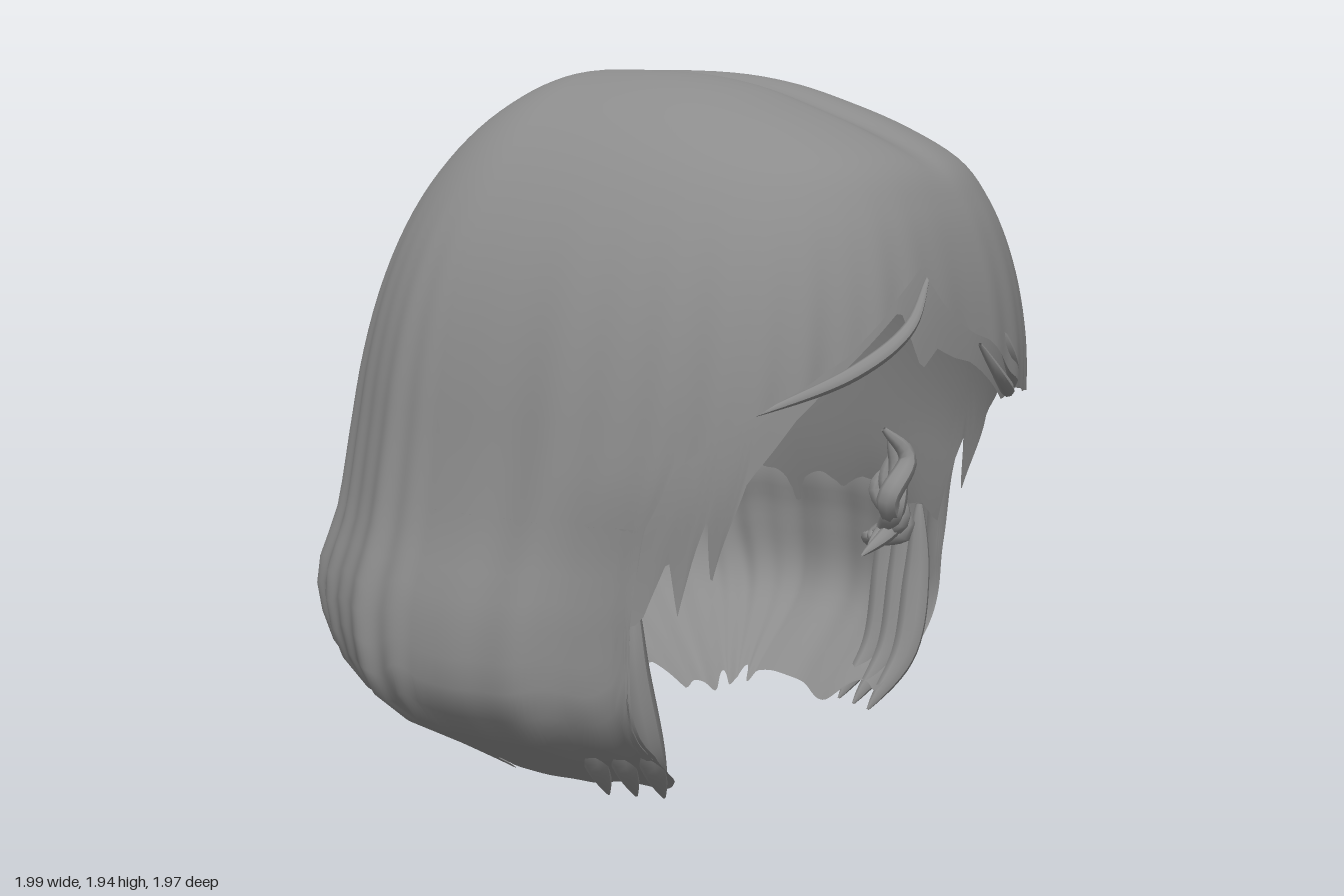
import * as THREE from 'three';
import { mergeVertices } from 'three/addons/utils/BufferGeometryUtils.js';

const hair = new THREE.MeshStandardMaterial({ color: 0x8c8c8c, side: THREE.DoubleSide });
hair.name = 'grey hair';

const TOP = 1.94, POLE_Z = -0.15, DEG = Math.PI / 180;
// Head profile, sampled at q = 0, 0.1 ... 1.4 where y = TOP - q * q
const WIDTH = [0, 0.19, 0.31, 0.42, 0.52, 0.61, 0.69, 0.76, 0.815, 0.855, 0.885, 0.925, 0.985, 0.94, 0.54];
const FRONT = [-0.15, 0.11, 0.3, 0.46, 0.64, 0.8, 0.88, 0.93, 0.96, 0.97, 0.95, 0.88, 0.85, 0.85, 0.83];
const BACK = [0.15, 0.27, 0.36, 0.44, 0.53, 0.615, 0.695, 0.76, 0.815, 0.86, 0.895, 0.925, 0.98, 0.76, 0.22];

const smooth = (a, b, v) => {
  const t = Math.min(1, Math.max(0, (v - a) / (b - a)));
  return t * t * (3 - 2 * t);
};

// Smooth interpolation of a profile table
function sample(table, q) {
  const f = Math.min(q * 10, table.length - 1.001), i = Math.floor(f), t = f - i;
  const p = k => table[Math.min(table.length - 1, Math.max(0, k))];
  const m0 = i === 0 ? p(1) - p(0) : (p(i + 1) - p(i - 1)) / 2;
  const m1 = (p(i + 2) - p(i)) / 2;
  return p(i) + t * m0 + t * t * (3 * (p(i + 1) - p(i)) - 2 * m0 - m1)
    + t * t * t * (2 * (p(i) - p(i + 1)) + m0 + m1);
}

// Point of the hair volume at an angle (0 = front, + = model's left) and depth q
function hairPoint(a, q, scale, flute) {
  const y = TOP - q * q, s = Math.sin(a), c = Math.cos(a);
  const e = c > 0 ? (s < 0 ? 0.68 : 0.86) : 0.92;
  const wave = 1 + flute * smooth(0.5, 1.25, q) *
    (0.005 * Math.sin(44 * a) + 0.004 * Math.sin(27 * a + 1) + 0.006 * Math.sin(13 * a));
  const k = scale * wave;
  let x = Math.sign(s) * Math.pow(Math.abs(s), e) * sample(WIDTH, q) * k;
  const reach = c > 0 ? sample(FRONT, q) - POLE_Z : sample(BACK, q) + POLE_Z;
  const z = POLE_Z + Math.sign(c) * Math.pow(Math.abs(c), e) * reach * k;
  // side curtains curl in towards the face
  x *= 1 - 0.1 * smooth(0.05, 0.41, z) * smooth(0.95, 0.4, y);
  // shallow parting on the crown
  const part = 0.025 * Math.exp(-((x / 0.07) ** 2)) * smooth(-0.3, 0.1, z) * smooth(1.6, 1.85, y);
  return [x, y - part, z];
}

// Sheet hanging from height top down to an edge given as [degrees, y] pairs
function sheet(name, edge, cols, rows, { top = TOP, scale = () => 1, flute = 1, ragged = 0, drop = 0 } = {}) {
  const path = new THREE.Path();
  edge.forEach(([d, y], i) => (i ? path.lineTo(d * DEG, y) : path.moveTo(d * DEG, y)));
  const pts = path.getSpacedPoints(cols), pos = [], index = [];
  pts.forEach(({ x: a, y }, i) => {
    const deg = Math.abs(a) / DEG, low = smooth(62, 66, deg) * smooth(150, 125, deg);
    const end = y + low * ragged * (Math.sin(22 * a) + 0.4 * Math.sin(37 * a));
    const q0 = Math.sqrt(TOP - top), q1 = Math.sqrt(TOP - Math.max(0, end));
    for (let j = 0; j <= rows; j++) {
      const t = j / rows, p = hairPoint(a, q0 + (q1 - q0) * t, scale(a, t), flute);
      pos.push(p[0], p[1] - drop, p[2]);
      if (i < cols && j < rows) {
        const n = i * (rows + 1) + j, m = n + rows + 1;
        index.push(n, n + 1, m, m, n + 1, m + 1);
      }
    }
  });
  let g = new THREE.BufferGeometry();
  g.setAttribute('position', new THREE.Float32BufferAttribute(pos, 3));
  g.setIndex(index);
  g = mergeVertices(g, 1e-5);
  g.computeVertexNormals();
  const mesh = new THREE.Mesh(g, hair);
  mesh.name = name;
  return mesh;
}

// Tapered lock of hair along a few points
function lock(name, points, radius) {
  const curve = new THREE.CatmullRomCurve3(points.map(p => new THREE.Vector3(...p)));
  const n = 24, sides = 8, g = new THREE.TubeGeometry(curve, n, radius, sides);
  const pos = g.attributes.position, v = new THREE.Vector3();
  for (let i = 0; i <= n; i++) {
    const c = curve.getPointAt(i / n), k = Math.pow(Math.sin(Math.PI * (0.04 + 0.95 * i / n)), 0.7);
    for (let j = 0; j <= sides; j++) {
      const id = i * (sides + 1) + j;
      v.fromBufferAttribute(pos, id).sub(c).multiplyScalar(k).add(c);
      pos.setXYZ(id, v.x, v.y, v.z);
    }
  }
  g.computeVertexNormals();
  const mesh = new THREE.Mesh(g, hair);
  mesh.name = name;
  return mesh;
}

export function createModel() {
  const model = new THREE.Group();
  model.name = 'bobHair';

  // Outer hair with the face opening and fringe peak
  model.add(sheet('outerHair', [
    [-180, 0.09], [-150, 0.09], [-143, 0.03], [-120, 0.02], [-95, 0.04], [-75, 0.03], [-67, 0.08], [-65, 0.18],
    [-64, 0.5], [-63, 0.8], [-60, 0.95], [-54, 1.04], [-40, 1.15], [-30, 1.23], [-19, 1.36], [-12, 1.44],
    [-7, 1.34], [0, 1.24], [8, 1.13], [17, 1.06], [30, 1.04], [44, 1.02], [52, 0.96], [57, 0.8],
    [59, 0.5], [61, 0.18], [64, 0.08], [75, 0.03], [95, 0.04], [120, 0.02], [143, 0.03], [150, 0.09], [180, 0.09],
  ], 560, 44, { ragged: 0.018 }));

  // Inner panels of the side hair, closed onto the curtain and bottom edges
  const inset = (a, t) => 1 - 0.07 * smooth(62 * DEG, 76 * DEG, Math.abs(a)) * smooth(0, 0.3, t) * (1 - t ** 6);
  const half = [[64, 0.18], [67, 0.08], [75, 0.03], [95, 0.04], [120, 0.02], [143, 0.03]];
  for (const side of [-1, 1]) {
    model.add(sheet(side < 0 ? 'rightInnerPanel' : 'leftInnerPanel', half.map(([d, y]) => [d * side, y]),
      120, 20, { top: 0.8, scale: inset, ragged: 0.018 }));
  }

  // Scalp cap inside, with a ragged edge
  model.add(sheet('scalpCap', [
    [-180, 0.77], [-150, 0.76], [-145, 0.85], [-138, 0.67], [-122, 0.58], [-95, 0.52], [-70, 0.54], [-62, 0.58],
    [-58, 0.75], [-55, 0.6], [-52, 0.86], [-49, 0.68], [-46, 0.95], [-38, 1.1], [-30, 1.2], [-14, 1.36],
    [-9, 1.2], [-5, 1.25], [6, 1.15], [15, 1.07], [35, 1.06], [42, 0.98], [47, 0.72], [51, 0.88],
    [56, 0.6], [62, 0.65], [90, 0.54], [125, 0.52], [150, 0.5], [158, 0.58], [146, 0.72],
    [150, 0.85], [162, 0.84], [169, 0.77], [180, 0.77],
  ], 240, 24, { scale: () => 0.95, flute: 0, drop: 0.03 }));

  // Strands at the front edge of each side curtain
  for (const s of [-1, 1]) {
    const side = s < 0 ? 'right' : 'left';
    for (let i = 0; i < 3; i++) {
      const z = 0.36 - i * 0.07;
      model.add(lock(side + 'CurtainStrand' + (i + 1), [
        [s * (0.74 + 0.02 * i), 0.62, z], [s * (0.73 + 0.025 * i), 0.4, z],
        [s * (0.66 + 0.03 * i), 0.17, z], [s * (0.53 + 0.03 * i), 0.01, z - 0.05],
      ], 0.045));
    }
  }

  // Tucked curls beside the left temple
  for (let i = 0; i < 4; i++) {
    const o = i * 0.035;
    model.add(lock('templeCurl' + (i + 1), [
      [0.57 + o, 0.87 - o, 0.33], [0.63, 0.78 - o, 0.38 - o], [0.55 + o, 0.66 - o, 0.36],
      [0.62, 0.57 - o / 2, 0.34 - o], [0.5 + o, 0.49 + o / 2, 0.3],
    ], 0.035));
  }

  // Loose locks along the fringe
  model.add(lock('fringeLockLong', [[0.08, 1.3, 0.93], [0.15, 1.2, 0.95], [0.25, 1.11, 0.92], [0.32, 1.04, 0.87]], 0.02));
  model.add(lock('fringeLockShort', [[0.0, 1.22, 0.95], [0.12, 1.12, 0.95], [0.3, 1.06, 0.88], [0.48, 1.04, 0.77]], 0.02));
  model.add(lock('fringeLockRight', [[-0.21, 1.41, 0.91], [-0.32, 1.29, 0.92], [-0.5, 1.19, 0.87], [-0.69, 1.09, 0.7]], 0.02));

  return model;
}
